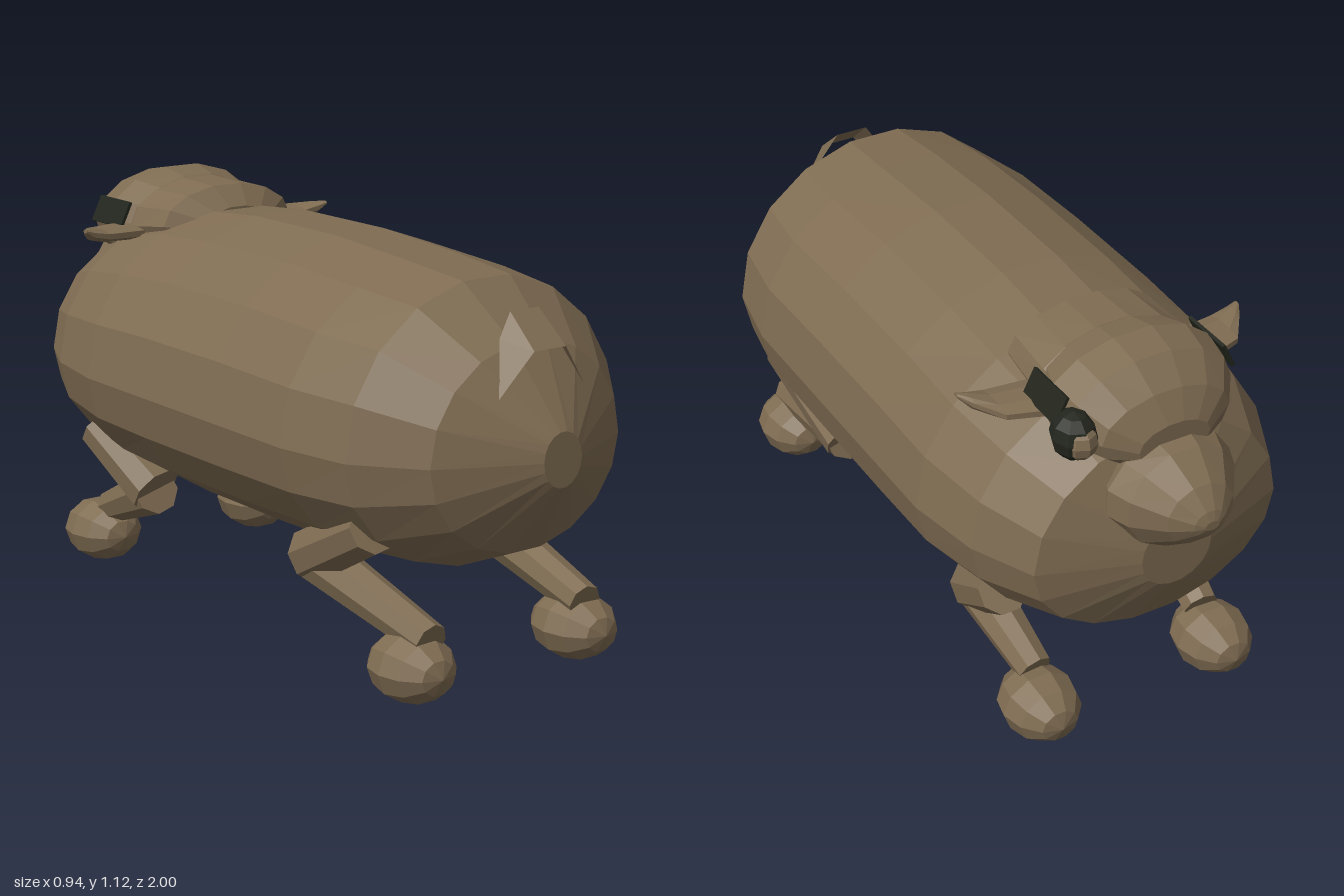
import * as THREE from 'three';

const brown = new THREE.MeshStandardMaterial({ color: 0x7f6c52, flatShading: true, side: THREE.DoubleSide });
brown.name = 'brown hide';
const dark = new THREE.MeshStandardMaterial({ color: 0x23261d, flatShading: true, side: THREE.DoubleSide });
dark.name = 'dark eye';

// Skin over rings [z, halfWidth, top, bottom, middleY, centreX], ordered from +z to -z.
function loft(rings, sides) {
  const pos = [], index = [];
  for (const [z, w, top, bottom, mid = (top + bottom) / 2, cx = 0] of rings) {
    for (let j = 0; j < sides; j++) {
      const a = ((j + 0.5) / sides) * Math.PI * 2, c = Math.cos(a);
      pos.push(cx + w * Math.sin(a), mid + c * (c > 0 ? top - mid : mid - bottom), z);
    }
  }
  const last = rings.length - 1;
  for (let i = 0; i < last; i++) {
    for (let j = 0; j < sides; j++) {
      const k = (j + 1) % sides, a = i * sides + j, b = i * sides + k;
      index.push(a, b, a + sides, b, b + sides, a + sides);
    }
  }
  for (let j = 1; j < sides - 1; j++) {
    index.push(0, j + 1, j);
    index.push(last * sides, last * sides + j, last * sides + j + 1);
  }
  const g = new THREE.BufferGeometry();
  g.setAttribute('position', new THREE.Float32BufferAttribute(pos, 3));
  g.setIndex(index);
  g.computeVertexNormals();
  return g;
}

function add(parent, name, geometry, material = brown) {
  const mesh = new THREE.Mesh(geometry, material);
  mesh.name = name;
  parent.add(mesh);
  return mesh;
}

function ball(parent, name, center, radii, material = brown, w = 10, h = 6) {
  const mesh = add(parent, name, new THREE.SphereGeometry(1, w, h), material);
  mesh.position.set(...center);
  mesh.scale.set(...radii);
  return mesh;
}

// Faceted limb segment between two points.
function limb(parent, name, from, to, r0, r1) {
  const a = new THREE.Vector3(...from), b = new THREE.Vector3(...to);
  const mesh = add(parent, name, new THREE.CylinderGeometry(r1, r0, a.distanceTo(b), 8));
  mesh.position.copy(a).add(b).multiplyScalar(0.5);
  mesh.quaternion.setFromUnitVectors(new THREE.Vector3(0, 1, 0), b.sub(a).normalize());
}

export function createModel() {
  const model = new THREE.Group();
  model.name = 'animal';

  // Barrel body
  add(model, 'body', loft([
    [1.0, 0.06, 0.69, 0.55, 0.62],
    [0.87, 0.3, 0.89, 0.36, 0.615],
    [0.71, 0.43, 1.02, 0.29, 0.615],
    [0.5, 0.468, 1.04, 0.275, 0.615],
    [0.2, 0.468, 1.06, 0.265, 0.615],
    [-0.15, 0.468, 1.06, 0.265, 0.615],
    [-0.39, 0.468, 1.04, 0.28, 0.615],
    [-0.6, 0.43, 1.0, 0.31, 0.615],
    [-0.77, 0.35, 0.93, 0.36, 0.615],
    [-0.86, 0.1, 0.72, 0.52, 0.615],
  ], 18));

  // Tail flap folded over the rump
  const tail = new THREE.BufferGeometry();
  tail.setAttribute('position', new THREE.Float32BufferAttribute([
    -0.085, 0.9, 0.86, -0.045, 0.96, 0.85, 0.045, 0.96, 0.85, 0.085, 0.9, 0.86,
    -0.135, 0.77, 0.92, -0.05, 0.88, 0.945, 0.05, 0.88, 0.945, 0.135, 0.77, 0.92,
  ], 3));
  tail.setIndex([0, 4, 5, 0, 5, 1, 1, 5, 6, 1, 6, 2, 2, 6, 7, 2, 7, 3]);
  tail.computeVertexNormals();
  add(model, 'tail', tail);

  // Head: collar, skull and muzzle
  const head = new THREE.Group();
  head.name = 'head';
  model.add(head);
  add(head, 'collar', loft([
    [-0.345, 0.12, 1.045, 0.93],
    [-0.4, 0.21, 1.1, 0.9],
    [-0.55, 0.22, 1.105, 0.86],
    [-0.6, 0.2, 1.08, 0.88],
  ], 14));
  add(head, 'skull', loft([
    [-0.5, 0.15, 1.08, 0.88],
    [-0.55, 0.21, 1.11, 0.86],
    [-0.63, 0.245, 1.127, 0.84],
    [-0.72, 0.23, 1.11, 0.84],
    [-0.79, 0.18, 1.05, 0.85],
    [-0.83, 0.1, 0.98, 0.87],
  ], 14));
  add(head, 'muzzle', loft([
    [-0.75, 0.15, 0.92, 0.68],
    [-0.81, 0.18, 0.94, 0.65],
    [-0.87, 0.155, 0.93, 0.65],
    [-0.95, 0.095, 0.875, 0.71],
    [-0.99, 0.045, 0.825, 0.755],
    [-1.0, 0.02, 0.8, 0.775],
  ], 12));

  // Ears and dark eye patches on both sides
  const ear = loft([
    [0.405, 0.01, 1.0, 0.99, 0.995, 0.49],
    [0.38, 0.03, 0.998, 0.965, 0.985, 0.51],
    [0.33, 0.065, 0.99, 0.952, 0.975, 0.545],
    [0.2, 0.08, 0.99, 0.945, 0.97, 0.57],
  ], 8).rotateY(Math.PI / 2);
  for (const s of [1, -1]) {
    const side = new THREE.Group();
    side.name = s > 0 ? 'leftFace' : 'rightFace';
    side.scale.x = s;
    head.add(side);
    add(side, 'ear', ear);
    const patch = add(side, 'eyePatch', new THREE.BoxGeometry(0.009, 0.075, 0.15), dark);
    patch.position.set(0.236, 1.015, -0.625);
    patch.rotation.z = 0.45;
  }

  // Bulging left eye, dark behind and brown ahead
  ball(head, 'eyeBack', [0.225, 0.97, -0.735], [0.058, 0.065, 0.063], dark, 8, 6);
  ball(head, 'eyeFront', [0.222, 0.965, -0.755], [0.045, 0.05, 0.052], brown, 8, 6);

  // Crouching legs with ball feet
  for (const s of [1, -1]) {
    const legs = [
      ['hindLeg', [0.32, 0.43, 0.68], [0.275, 0.28, 0.38], [0.25, 0.165, 0.82], 0.765],
      ['foreLeg', [0.32, 0.42, -0.57], [0.275, 0.275, -0.36], [0.255, 0.165, -0.62], -0.66],
    ];
    for (const [name, hip, knee, ankle, footZ] of legs) {
      const leg = new THREE.Group();
      leg.name = name;
      leg.scale.x = s;
      model.add(leg);
      limb(leg, 'thigh', hip, knee, 0.065, 0.075);
      limb(leg, 'shin', knee, ankle, 0.068, 0.048);
      ball(leg, 'foot', [0.265, 0.09, footZ], [0.105, 0.09, 0.122]).rotation.x = Math.PI / 2;
      leg.children[2].scale.set(0.105, 0.122, 0.09);
    }
  }
  return model;
}
